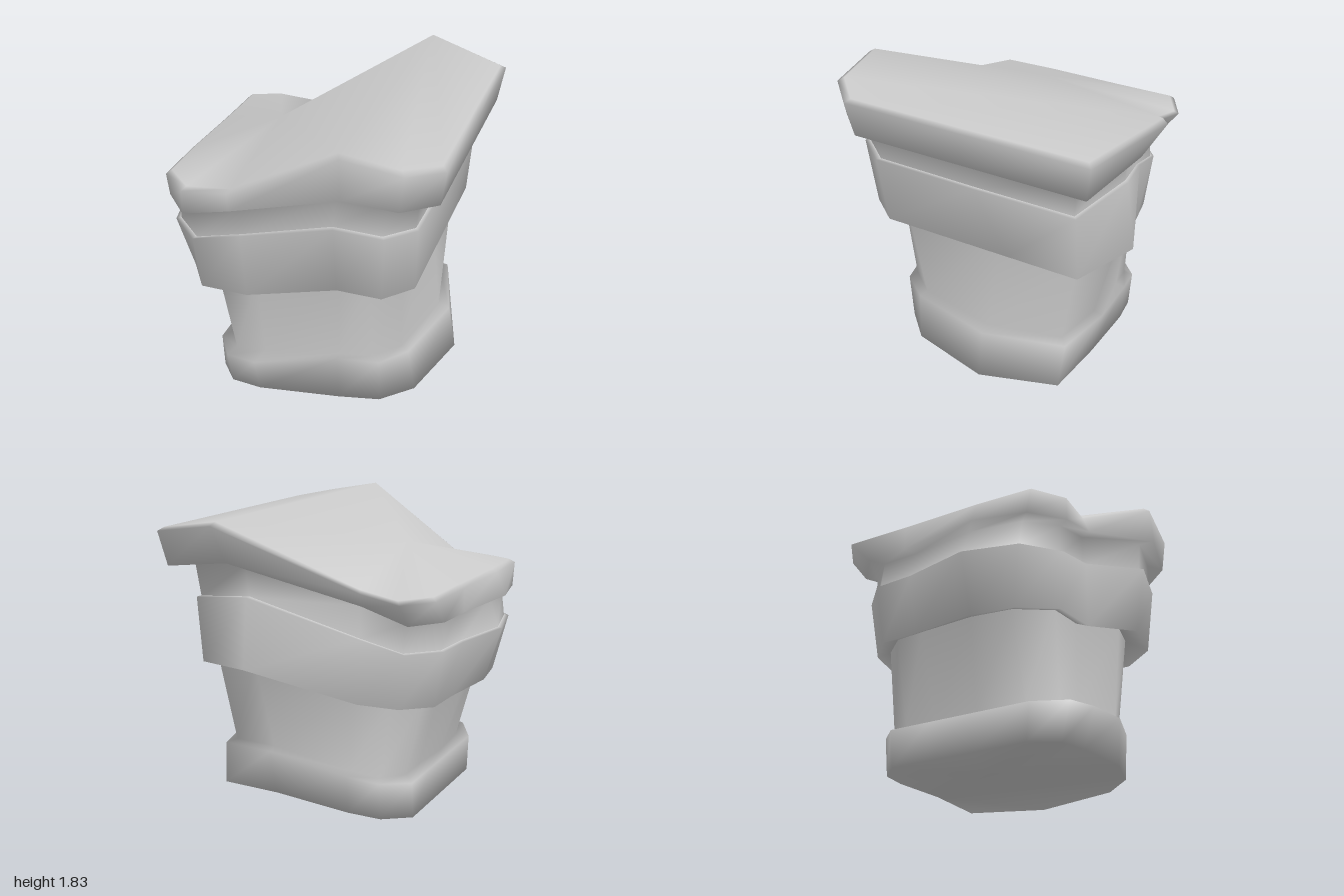
import * as THREE from 'three';

// Every outline is 14 [x, z] corners, starting at the front and running towards +x.
const OUTLINES = {
  baseBottom: [[-.45, .69], [-.25, .73], [.26, .72], [.5, .66], [.67, .48], [.8, -.05], [.65, -.52],
    [.26, -.54], [-.22, -.5], [-.42, -.46], [-.57, -.32], [-.57, -.08], [-.57, .2], [-.57, .54]],
  baseTop: [[-.45, .75], [-.25, .8], [.26, .74], [.5, .68], [.63, .5], [.75, -.05], [.62, -.55],
    [.26, -.61], [-.22, -.52], [-.42, -.48], [-.57, -.34], [-.57, -.08], [-.57, .2], [-.57, .56]],
  bodyBottom: [[-.42, .67], [-.22, .69], [.26, .71], [.45, .65], [.58, .48], [.68, -.05], [.57, -.5],
    [.26, -.55], [-.22, -.46], [-.4, -.43], [-.5, -.28], [-.5, -.08], [-.52, .2], [-.5, .5]],
  bodyTop: [[-.5, .7], [-.25, .71], [.28, .76], [.45, .73], [.6, .58], [.6, -.1], [.61, -.62],
    [.28, -.72], [-.25, -.5], [-.48, -.43], [-.62, -.28], [-.64, -.1], [-.67, .25], [-.64, .5]],
  bandBottom: [[-.58, .77], [-.28, .8], [.3, .87], [.55, .84], [.69, .65], [.69, -.2], [.69, -.66],
    [.3, -.81], [-.3, -.54], [-.54, -.48], [-.7, -.33], [-.71, -.1], [-.76, .3], [-.72, .56]],
  bandTop: [[-.6, .81], [-.3, .81], [.3, .94], [.57, .89], [.71, .7], [.72, 0], [.72, -.66],
    [.3, -.76], [-.32, -.54], [-.59, -.51], [-.76, -.35], [-.78, -.1], [-.87, .3], [-.79, .63]],
  neckTop: [[-.59, .79], [-.3, .79], [.31, .92], [.57, .87], [.71, .69], [.72, 0], [.72, -.66],
    [.31, -.74], [-.3, -.5], [-.58, -.48], [-.72, -.33], [-.73, -.1], [-.78, .3], [-.74, .62]],
  capBottom: [[-.63, .85], [-.34, .86], [.36, 1], [.66, .94], [.83, .74], [.83, 0], [.83, -.78],
    [.36, -.86], [-.32, -.52], [-.62, -.54], [-.78, -.4], [-.79, -.14], [-.86, .36], [-.79, .68]],
  capTop: [[-.63, .85], [-.36, .83], [.35, .99], [.69, .96], [.865, .77], [.865, 0], [.865, -.82],
    [.36, -1], [-.34, -.57], [-.62, -.65], [-.79, -.54], [-.79, -.14], [-.8, .36], [-.79, .71]],
};

// Heights as [x, y] knots, so each layer climbs in the same crooked wave.
const HEIGHTS = {
  baseBottom: [[-.57, 0], [-.25, .025], [.28, .08], [.8, .06]],
  baseTop: [[-.57, .23], [-.25, .265], [.26, .375], [.75, .34]],
  bandBottom: [[-.76, .73], [-.58, .73], [-.28, .745], [.3, .94], [.69, .9]],
  bandTop: [[-.87, 1.08], [-.6, 1.07], [-.3, 1.14], [.3, 1.36], [.72, 1.3]],
  capBottom: [[-.86, 1.27], [-.62, 1.25], [-.34, 1.32], [.35, 1.575], [.83, 1.5]],
  capTop: [[-.79, 1.42], [-.6, 1.4], [-.34, 1.42], [.34, 1.815], [.865, 1.72]],
};

function heightAt(knots, x) {
  if (x <= knots[0][0]) return knots[0][1];
  for (let i = 1; i < knots.length; i++) {
    const [x0, y0] = knots[i - 1], [x1, y1] = knots[i];
    if (x <= x1) return y0 + (y1 - y0) * (x - x0) / (x1 - x0);
  }
  return knots[knots.length - 1][1];
}

// A closed loop of points following one outline and one wave of heights.
function ring(outline, heights, { scale = 1, lift = 0 } = {}) {
  return OUTLINES[outline].map(([x, z]) =>
    [x * scale, heightAt(HEIGHTS[heights], x) + lift, z * scale]);
}

// Smooth skin through the rings; an end is closed by a fan around its centre
// point, split along the high ridge between corners 2 and 7.
function loft(name, rings, { bottom, top } = {}) {
  const n = rings[0].length, points = rings.flat(), index = [];
  for (let r = 0; r < rings.length - 1; r++) {
    for (let i = 0; i < n; i++) {
      const j = (i + 1) % n, a = r * n + i, b = r * n + j;
      index.push(a, b, b + n, a, b + n, a + n);
    }
  }
  const close = (offset, centre, up) => {
    const c = points.push(centre) - 1;
    const face = (p, q, r) => index.push(...(up ? [p, q, r] : [p, r, q]));
    for (let i = 7; i < 16; i++) face(c, offset + i % n, offset + (i + 1) % n);
    face(c, offset + 2, offset + 7);
    for (let i = 2; i < 6; i++) face(offset + 7, offset + i, offset + i + 1);
  };
  if (bottom) close(0, bottom, false);
  if (top) close((rings.length - 1) * n, top, true);

  const geometry = new THREE.BufferGeometry();
  geometry.setAttribute('position', new THREE.Float32BufferAttribute(points.flat(), 3));
  geometry.setIndex(index);
  geometry.computeVertexNormals();
  const mesh = new THREE.Mesh(
    geometry, new THREE.MeshStandardMaterial({ color: 0xcccccc, side: THREE.DoubleSide }));
  mesh.name = name;
  return mesh;
}

export function createModel() {
  const model = new THREE.Group();
  model.name = 'crookedStump';

  // Foot block running in to the flaring body
  model.add(loft('baseAndBody', [
    ring('baseBottom', 'baseBottom'),
    ring('baseTop', 'baseTop'),
    ring('bodyBottom', 'baseTop', { lift: .015 }),
    ring('bodyTop', 'bandBottom', { lift: .05 }),
  ], { bottom: [-.1, .035, .05] }));

  // Wide band with an undercut ledge below and a soft upper edge
  model.add(loft('band', [
    ring('bodyTop', 'bandBottom', { lift: .04 }),
    ring('bandBottom', 'bandBottom'),
    ring('bandTop', 'bandTop'),
    ring('bandTop', 'bandTop', { scale: .97, lift: .005 }),
  ]));

  // Recessed neck flowing into the overhanging cap, with a softened rim and domed top
  model.add(loft('neckAndCap', [
    ring('bandTop', 'bandTop', { scale: .97 }),
    ring('neckTop', 'capBottom', { lift: -.01 }),
    ring('capBottom', 'capBottom'),
    ring('capTop', 'capTop', { lift: -.01 }),
    ring('capTop', 'capTop', { scale: .965, lift: .012 }),
  ], { top: [-.3, 1.6, .13] }));

  return model;
}
